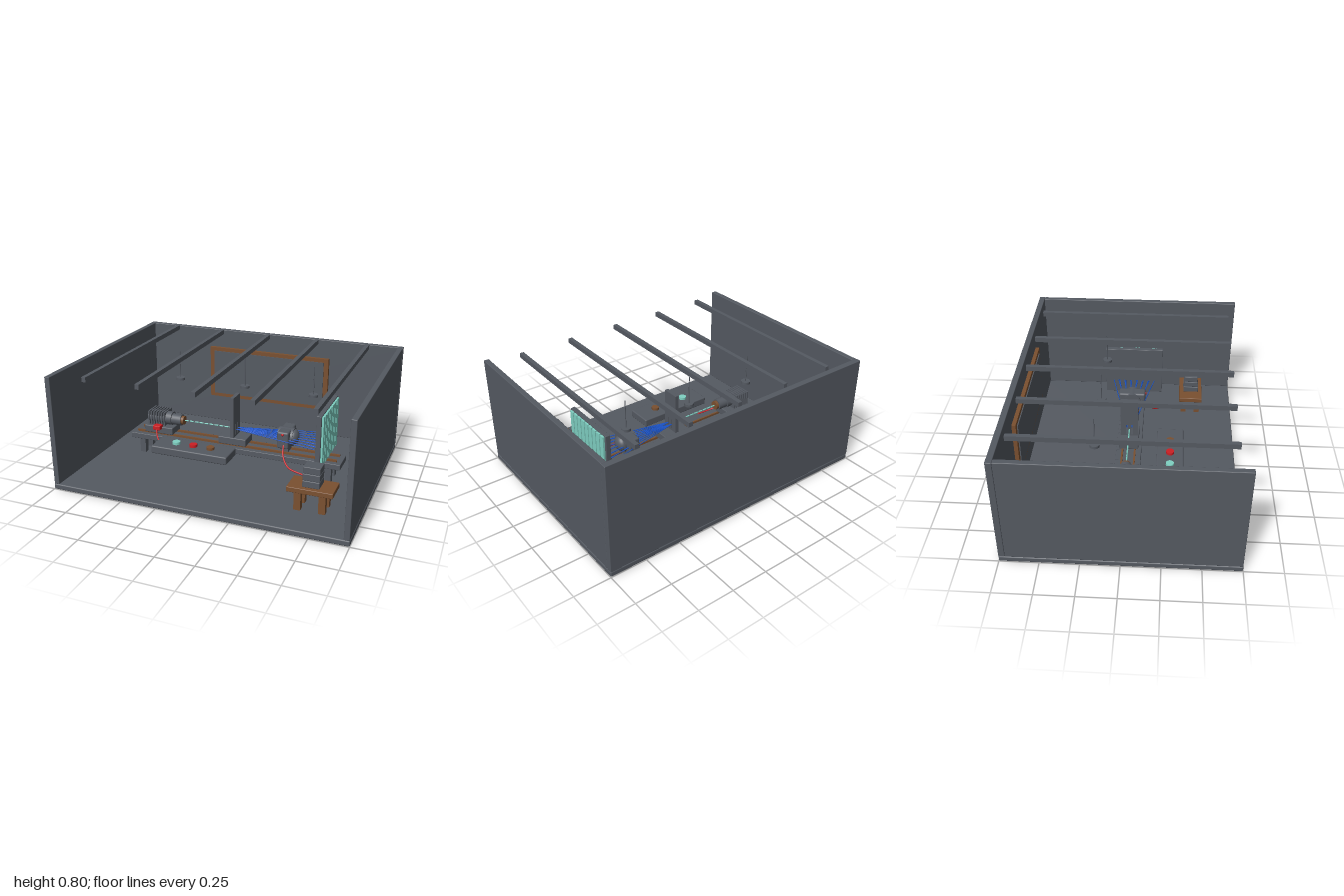
import * as THREE from 'three';
import { RoundedBoxGeometry } from 'three/addons/geometries/RoundedBoxGeometry.js';

const mat = (name, color) => {
  const m = new THREE.MeshStandardMaterial({ color });
  m.name = name;
  return m;
};

export function createModel() {
  const root = new THREE.Group();
  root.name = 'opticsLaboratory';
  const grey = mat('slate grey', 0x555a62);
  const brown = mat('wood brown', 0x7a5030);
  const teal = mat('pale teal', 0x7fd0c2);
  const red = mat('signal red', 0xcc1f24);
  const blue = mat('ray blue', 0x1a55cc);

  const add = (name, geo, m, x = 0, y = 0, z = 0) => {
    const mesh = new THREE.Mesh(geo, m);
    mesh.name = name;
    mesh.position.set(x, y, z);
    root.add(mesh);
    return mesh;
  };
  // box given by its extents on each axis; r rounds the edges
  const box = (name, m, [x0, x1], [y0, y1], [z0, z1], r = 0) => {
    const s = [x1 - x0, y1 - y0, z1 - z0];
    const geo = r ? new RoundedBoxGeometry(...s, 2, r) : new THREE.BoxGeometry(...s);
    return add(name, geo, m, (x0 + x1) / 2, (y0 + y1) / 2, (z0 + z1) / 2);
  };
  // cylinder lying along x
  const barrel = (name, m, x0, x1, r, y, z = 0, n = 28) =>
    add(name, new THREE.CylinderGeometry(r, r, x1 - x0, n).rotateZ(Math.PI / 2), m, (x0 + x1) / 2, y, z);
  // thin rod between two points
  const rod = (name, m, a, b, r) => {
    const p = new THREE.Vector3(...a), q = new THREE.Vector3(...b);
    const mesh = add(name, new THREE.CylinderGeometry(r, r, p.distanceTo(q), 6), m);
    mesh.position.copy(p).lerp(q, 0.5);
    mesh.quaternion.setFromUnitVectors(new THREE.Vector3(0, 1, 0), q.sub(p).normalize());
  };
  const cable = (name, pts) => add(name, new THREE.TubeGeometry(
    new THREE.CatmullRomCurve3(pts.map(p => new THREE.Vector3(...p))), 24, 0.005, 8), red);

  // room shell, open at the front and top
  box('floor', grey, [-1, 1], [0, 0.038], [-0.75, 0.75], 0.008);
  box('backWall', grey, [-1, 1], [0.038, 0.788], [-0.75, -0.71], 0.004);
  for (const s of [-1, 1])
    box('sideWall', grey, [s * 0.98 - 0.018, s * 0.98 + 0.018], [0.038, 0.788], [-0.71, 0.748], 0.004);
  for (let i = -2; i <= 2; i++)
    box('ceilingBeam', grey, [i * 0.375 - 0.014, i * 0.375 + 0.014], [0.762, 0.795], [-0.686, 0.686]);

  // framed wall board
  box('boardFrame', brown, [-0.473, 0.473], [0.25, 0.65], [-0.712, -0.684]);
  box('boardPanel', grey, [-0.438, 0.438], [0.278, 0.622], [-0.7, -0.677]);

  // hanging lamps
  for (const x of [-0.5, 0, 0.5]) {
    add('lampCord', new THREE.CylinderGeometry(0.003, 0.003, 0.195, 8), grey, x, 0.648, -0.19);
    add('lampDisc', new THREE.CylinderGeometry(0.032, 0.032, 0.018, 24), grey, x, 0.543, -0.19);
  }

  // bench with legs and rails
  box('benchTop', grey, [-0.773, 0.773], [0.145, 0.185], [-0.087, 0.087], 0.004);
  for (const x of [-0.69, 0.69]) for (const z of [-0.055, 0.055])
    box('benchLeg', grey, [x - 0.021, x + 0.021], [0.038, 0.147], [z - 0.02, z + 0.02]);
  for (const z of [-0.043, 0.043])
    box('benchRail', brown, [-0.74, 0.74], [0.184, 0.2], [z - 0.006, z + 0.006]);
  for (let i = -6; i <= 6; i++)
    box('scaleTick', grey, [i * 0.1 - 0.002, i * 0.1 + 0.002], [0.184, 0.189], [-0.085, -0.065]);

  // light source
  box('sourceBase', grey, [-0.675, -0.455], [0.198, 0.25], [-0.065, 0.065], 0.006);
  barrel('sourceBody', grey, -0.655, -0.475, 0.048, 0.303);
  for (let i = 0; i < 7; i++) {
    const x = -0.643 + i * 0.02;
    box('coolingFin', grey, [x - 0.005, x + 0.005], [0.256, 0.355], [-0.068, 0.055]);
  }
  barrel('sourceNozzle', grey, -0.48, -0.405, 0.04, 0.3);
  barrel('nozzleRing', brown, -0.455, -0.385, 0.031, 0.3);
  box('sourcePlug', red, [-0.593, -0.537], [0.235, 0.267], [0.045, 0.1], 0.004);
  cable('sourceCable', [[-0.565, 0.24, 0.095], [-0.545, 0.19, 0.12], [-0.49, 0.153, 0.16], [-0.38, 0.14, 0.183]]);

  // dashed incoming beam
  for (let i = 0; i < 10; i++)
    barrel('beamDash', teal, -0.382 + i * 0.038, -0.354 + i * 0.038, 0.005, 0.3, 0, 8);

  // slit plate on its base
  box('slitBase', grey, [-0.102, 0.102], [0.198, 0.25], [-0.066, 0.066], 0.005);
  const plate = new THREE.Shape([[-0.06, 0.25], [0.06, 0.25], [0.06, 0.54], [-0.06, 0.54]]
    .map(p => new THREE.Vector2(...p)));
  for (const c of [-0.018, 0.018])
    plate.holes.push(new THREE.Path([[-1, 0.26], [-1, 0.34], [1, 0.34], [1, 0.26]]
      .map(([s, y]) => new THREE.Vector2(c + s * 0.004, y))));
  add('slitPlate', new THREE.ExtrudeGeometry(plate, { depth: 0.026, bevelEnabled: false })
    .rotateY(Math.PI / 2), grey, -0.013);

  // fan of rays from both slits
  for (const z of [-0.018, 0.018]) for (let i = -3; i <= 3; i++)
    rod('fanRay', blue, [0.015, 0.3, z], [0.61, 0.3, z + i * 0.045], 0.003);

  // detector
  box('detectorPost', grey, [0.35, 0.4], [0.198, 0.25], [-0.04, 0.04]);
  box('detectorBlock', grey, [0.335, 0.415], [0.24, 0.36], [-0.095, 0.095], 0.012);
  barrel('detectorBarrel', grey, 0.325, 0.43, 0.062, 0.3);
  const dome = add('detectorDome', new THREE.SphereGeometry(0.055, 24, 12, 0, Math.PI * 2, 0, Math.PI / 2)
    .rotateZ(-Math.PI / 2), grey, 0.425, 0.3, 0);
  dome.scale.x = 0.7;
  add('detectorLight', new THREE.SphereGeometry(0.009, 12, 8), red, 0.375, 0.343, 0.095);
  cable('detectorCable', [[0.382, 0.27, 0.09], [0.395, 0.21, 0.135], [0.45, 0.158, 0.19], [0.56, 0.14, 0.222]]);

  // screen with bright bands on its far face
  box('screen', grey, [0.632, 0.665], [0.185, 0.558], [-0.213, 0.213], 0.003);
  for (let i = -4; i <= 4; i++)
    box('screenBand', teal, [0.664, 0.678], [0.205, 0.55], [i * 0.045 - 0.018, i * 0.045 + 0.018]);

  // control panel and buttons
  box('controlPanel', grey, [-0.462, 0.084], [0.193, 0.248], [0.197, 0.378], 0.008);
  [teal, red, brown].forEach((m, i) =>
    add('panelButton', new THREE.CylinderGeometry(0.027, 0.027, 0.02, 24), m, -0.315 + i * 0.125, 0.256, 0.287));

  // stool with a stack of blocks
  box('stoolSeat', brown, [0.538, 0.834], [0.162, 0.196], [0.35, 0.521], 0.004);
  for (const x of [0.607, 0.765]) for (const z of [0.385, 0.487])
    box('stoolLeg', brown, [x - 0.022, x + 0.022], [0.038, 0.165], [z - 0.02, z + 0.02]);
  for (let i = 0; i < 3; i++)
    box('stackedBlock', grey, [0.632, 0.742], [0.196 + i * 0.045, 0.24 + i * 0.045],
      [0.38 + i * 0.004, 0.492 - i * 0.004], 0.004);

  return root;
}
